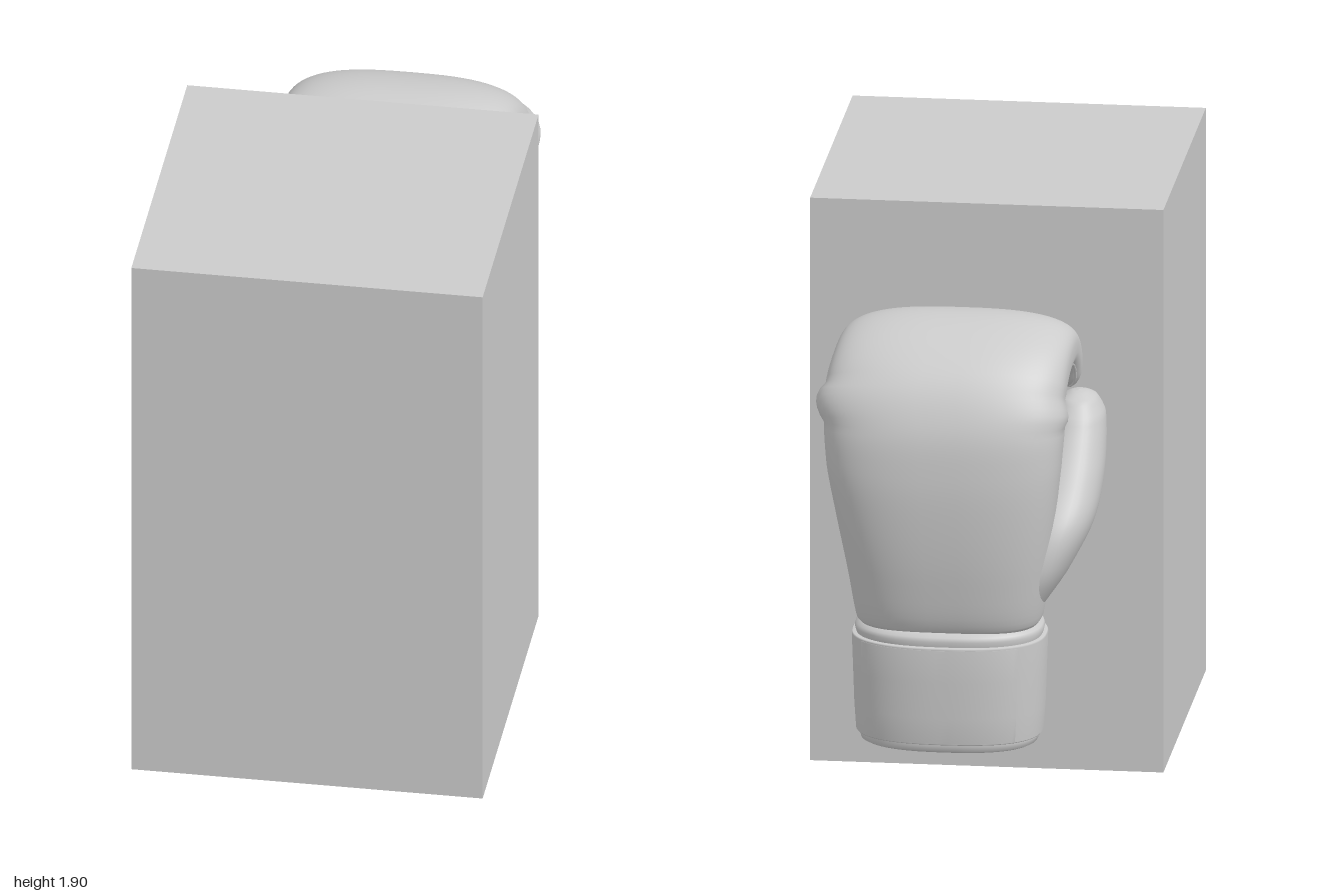
import * as THREE from 'three';

const V3 = (x, y, z) => new THREE.Vector3(x, y, z);
const grey = new THREE.MeshStandardMaterial({ color: 0xcccccc });
const greyDouble = new THREE.MeshStandardMaterial({ color: 0xcccccc, side: THREE.DoubleSide });

function part(name, geometry, material = grey) {
  const mesh = new THREE.Mesh(geometry, material);
  mesh.name = name;
  return mesh;
}

// Point on a superellipse section { c: centre, u, v: half axes, n: squareness }
function sectionPoint(s, angle) {
  const p = (k) => Math.sign(k) * Math.abs(k) ** (2 / s.n);
  return s.c.clone().addScaledVector(s.u, p(Math.cos(angle))).addScaledVector(s.v, p(Math.sin(angle)));
}

// Skin over a row of sections; a partial angle range gives an open strip
function loft(sections, segments = 64, a0 = 0, a1 = Math.PI * 2) {
  const closed = a1 - a0 > 6.28;
  const cols = closed ? segments : segments + 1;
  const pos = [], index = [];
  sections.forEach((s, i) => {
    for (let j = 0; j < cols; j++) {
      pos.push(...sectionPoint(s, a0 + ((a1 - a0) * j) / segments).toArray());
      if (i === sections.length - 1 || j === segments) continue;
      const k = (j + 1) % cols;
      const a = i * cols + j, b = i * cols + k, c = b + cols, d = a + cols;
      index.push(a, b, c, a, c, d);
    }
  });
  const g = new THREE.BufferGeometry();
  g.setAttribute('position', new THREE.Float32BufferAttribute(pos, 3));
  g.setIndex(index);
  g.computeVertexNormals();
  return g;
}

// Level section round the wrist: height, half width, half depth
const wristRing = ([y, hx, hz]) => ({ c: V3(0.05, y, -0.722), u: V3(hx, 0, 0), v: V3(0, 0, -hz), n: 2.5 });

// Hand: back of hand (z, y), palm side (z, y), centre x, half width, from wrist to fingertips
function handSections() {
  const rows = [
    [-0.89, 0.66, -0.54, 0.66, 0.05, 0.27],
    [-0.925, 0.69, -0.51, 0.69, 0.05, 0.3],
    [-0.965, 0.85, -0.535, 0.85, 0.05, 0.325],
    [-0.99, 1.05, -0.585, 1.05, 0.055, 0.355],
    [-0.995, 1.22, -0.605, 1.22, 0.06, 0.38],
    [-0.975, 1.38, -0.61, 1.32, 0.06, 0.39],
    [-0.9, 1.53, -0.6, 1.38, 0.06, 0.39],
    [-0.77, 1.63, -0.57, 1.41, 0.05, 0.385],
    [-0.6, 1.67, -0.53, 1.42, 0.04, 0.38],
    [-0.45, 1.64, -0.48, 1.41, 0.03, 0.37],
    [-0.35, 1.57, -0.44, 1.385, 0.025, 0.365],
    [-0.3, 1.47, -0.405, 1.36, 0.02, 0.355],
    [-0.318, 1.385, -0.37, 1.352, 0.02, 0.335],
    [-0.342, 1.36, -0.342, 1.36, 0.02, 0.31],
  ];
  const curve = (f) => new THREE.CatmullRomCurve3(rows.map(f));
  const outer = curve((r) => V3(0, r[1], r[0]));
  const inner = curve((r) => V3(0, r[3], r[2]));
  const width = curve((r) => V3(r[4], r[5], 0));
  return Array.from({ length: 79 }, (_, i) => {
    const t = i / 78, o = outer.getPoint(t), p = inner.getPoint(t), w = width.getPoint(t);
    const c = o.clone().add(p).multiplyScalar(0.5).setX(w.x);
    return { c, u: V3(w.y, 0, 0), v: o.sub(p).multiplyScalar(0.5), n: 2.8 };
  });
}

// Thumb: centre x, y, z, half width, half depth, from heel to tip
function thumbSections() {
  const rows = [
    [-0.17, 0.68, -0.68, 0.05, 0.13],
    [-0.235, 0.85, -0.69, 0.1, 0.17],
    [-0.285, 1.0, -0.645, 0.125, 0.185],
    [-0.32, 1.13, -0.57, 0.112, 0.162],
    [-0.335, 1.24, -0.505, 0.097, 0.142],
    [-0.34, 1.31, -0.472, 0.085, 0.125],
    [-0.34, 1.36, -0.465, 0.058, 0.085],
    [-0.34, 1.38, -0.468, 0.025, 0.035],
    [-0.34, 1.385, -0.47, 0, 0],
  ];
  const centre = new THREE.CatmullRomCurve3(rows.map((r) => V3(r[0], r[1], r[2])));
  const size = new THREE.CatmullRomCurve3(rows.map((r) => V3(r[3], r[4], 0)));
  return Array.from({ length: 41 }, (_, i) => {
    const s = size.getPoint(i / 40);
    return { c: centre.getPoint(i / 40), u: V3(s.x, 0, 0), v: V3(0, 0, -s.y), n: 2.2 };
  });
}

export function createModel() {
  const model = new THREE.Group();

  // Plain block in front
  const block = part('block', new THREE.BoxGeometry(1.15, 1.9, 1.145));
  block.position.set(0, 0.95, 0.4275);
  model.add(block);

  const glove = new THREE.Group();
  glove.name = 'glove';
  model.add(glove);

  // Padded hand, curled over at the fingers, and the thumb
  const hand = handSections();
  glove.add(part('hand', loft(hand, 80)));
  glove.add(part('thumb', loft(thumbSections(), 40)));

  // Seams between the back padding and the palm panel
  for (const [name, angle] of [['leftSeam', -0.39], ['rightSeam', Math.PI + 0.39]]) {
    const path = new THREE.CatmullRomCurve3(hand.slice(4, 76).map((s) => sectionPoint(s, angle)));
    glove.add(part(name, new THREE.TubeGeometry(path, 120, 0.005, 6)));
  }

  // Hollow cuff lining with a rolled rim at the opening and at the wrist
  const lining = [
    [0.62, 0, 0], [0.62, 0.2, 0.13], [0.58, 0.235, 0.155], [0.33, 0.25, 0.165], [0.295, 0.255, 0.168],
    [0.28, 0.265, 0.18], [0.276, 0.275, 0.19], [0.282, 0.287, 0.198], [0.3, 0.292, 0.202], [0.33, 0.292, 0.202],
    [0.6, 0.295, 0.207], [0.64, 0.303, 0.212], [0.655, 0.307, 0.217], [0.668, 0.303, 0.212],
    [0.68, 0.288, 0.198], [0.69, 0.26, 0.17],
  ].map(wristRing);
  glove.add(part('cuffLining', loft(lining, 72)));

  // Wrist band
  const band = [
    [0.306, 0.285, 0.195], [0.306, 0.3, 0.209], [0.31, 0.303, 0.212], [0.4, 0.309, 0.218], [0.52, 0.313, 0.224],
    [0.632, 0.317, 0.229], [0.637, 0.314, 0.226], [0.637, 0.296, 0.207],
  ].map(wristRing);
  glove.add(part('wristBand', loft(band, 72)));

  // Overlapping strap end across the back of the band
  const strap = [
    [0.312, 0.3, 0.209], [0.312, 0.307, 0.217], [0.4, 0.313, 0.223], [0.52, 0.318, 0.229],
    [0.63, 0.321, 0.233], [0.63, 0.312, 0.224],
  ].map(wristRing);
  glove.add(part('strapEnd', loft(strap, 30, 0.62, 2.35), greyDouble));

  return model;
}
